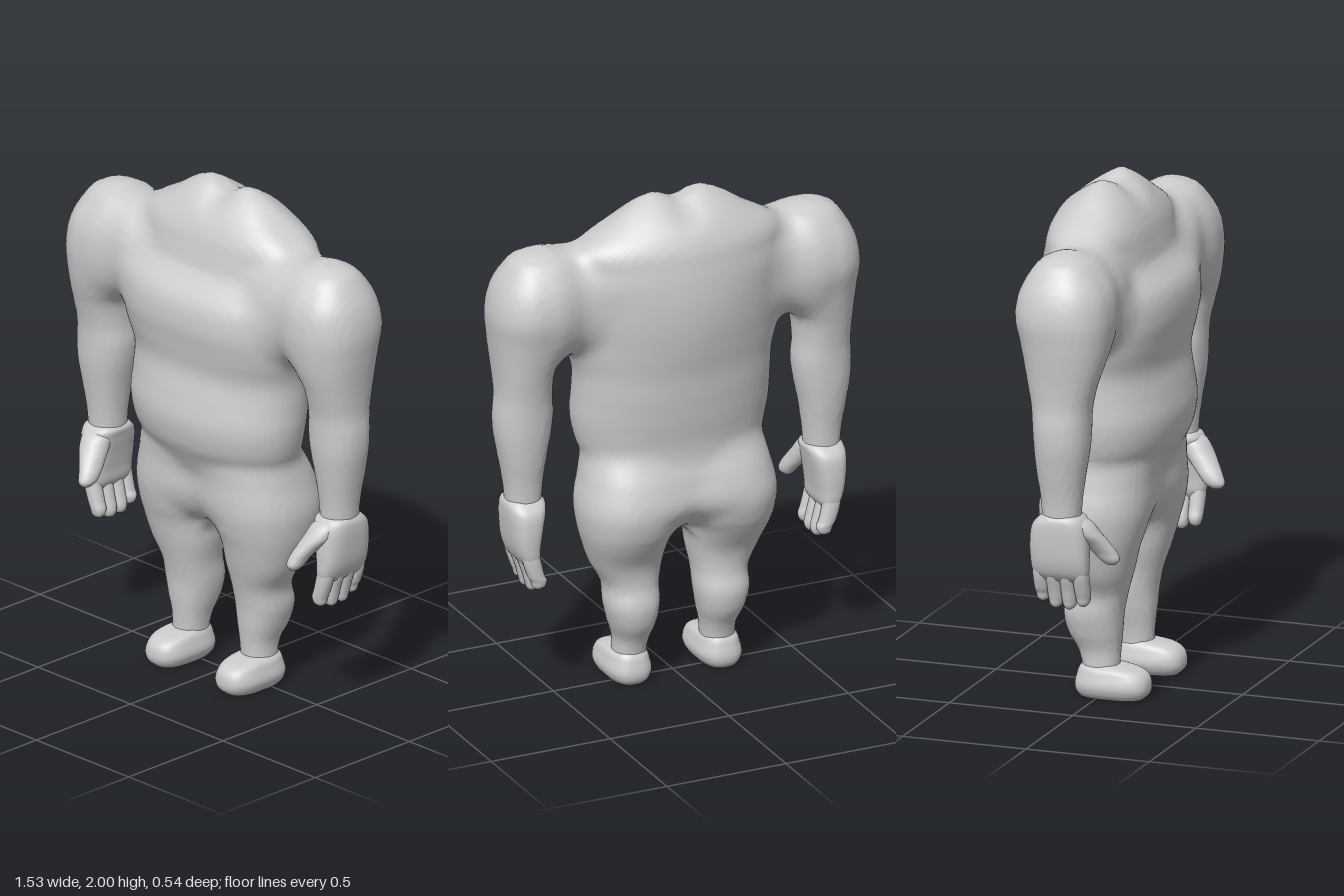
import * as THREE from 'three';

// Cross-sections are [level, u0, u1, zBack, zFront], listed from the highest level down.
// Levels are heights and u is x, except for the shoulder, where levels are x and u is y.

// Torso from neck stump to crotch
const TORSO = [
  [2.0, 0.115, -0.065, 0.0], [1.97, 0.185, -0.115, 0.04], [1.915, 0.27, -0.185, 0.09],
  [1.83, 0.407, -0.237, 0.135], [1.75, 0.43, -0.255, 0.155], [1.69, 0.44, -0.264, 0.172],
  [1.6, 0.447, -0.27, 0.246], [1.5, 0.445, -0.265, 0.264], [1.4, 0.43, -0.25, 0.25],
  [1.3, 0.403, -0.23, 0.237], [1.2, 0.4, -0.218, 0.255], [1.1, 0.4, -0.205, 0.268],
  [1.0, 0.382, -0.19, 0.25], [0.93, 0.354, -0.19, 0.215], [0.85, 0.325, -0.207, 0.178],
  [0.75, 0.26, -0.215, 0.162], [0.67, 0.14, -0.15, 0.12], [0.62, 0.05, -0.06, 0.05],
].map(([y, x, z0, z1]) => [y, -x, x, z0, z1]);

// Bridge from the chest to the upper arm
const SHOULDER = [
  [0.62, 1.45, 1.77, -0.14, 0.14], [0.55, 1.405, 1.82, -0.168, 0.172], [0.45, 1.4, 1.828, -0.16, 0.175],
  [0.35, 1.42, 1.8, -0.15, 0.175], [0.22, 1.48, 1.74, -0.12, 0.13],
];

// Arm from the top of the shoulder to the wrist
const ARM = [
  [1.84, 0.535, 0.605, -0.035, 0.035], [1.82, 0.48, 0.66, -0.085, 0.085], [1.785, 0.455, 0.694, -0.122, 0.122],
  [1.7, 0.43, 0.743, -0.168, 0.172], [1.6, 0.425, 0.764, -0.184, 0.189], [1.5, 0.44, 0.757, -0.163, 0.183],
  [1.42, 0.478, 0.748, -0.144, 0.166], [1.36, 0.51, 0.741, -0.13, 0.148], [1.26, 0.518, 0.735, -0.112, 0.124],
  [1.18, 0.511, 0.742, -0.105, 0.118], [1.1, 0.519, 0.739, -0.1, 0.114], [1.0, 0.538, 0.722, -0.09, 0.1],
  [0.9, 0.552, 0.704, -0.076, 0.086], [0.79, 0.56, 0.693, -0.068, 0.078],
];

// Leg from inside the hip to the ankle
const LEG = [
  [0.99, 0.12, 0.28, -0.1, 0.1], [0.92, 0.04, 0.347, -0.165, 0.165], [0.85, 0.0, 0.38, -0.208, 0.185],
  [0.75, -0.015, 0.401, -0.236, 0.189], [0.66, 0.012, 0.393, -0.22, 0.172], [0.6, 0.043, 0.378, -0.192, 0.154],
  [0.5, 0.06, 0.343, -0.138, 0.128], [0.41, 0.078, 0.297, -0.128, 0.102], [0.33, 0.082, 0.295, -0.145, 0.086],
  [0.25, 0.095, 0.276, -0.13, 0.08], [0.18, 0.113, 0.252, -0.092, 0.073], [0.12, 0.12, 0.25, -0.075, 0.07],
  [0.06, 0.12, 0.25, -0.07, 0.07],
];

const FOOT = [
  [0.128, 0.128, 0.242, -0.07, 0.08], [0.114, 0.115, 0.262, -0.083, 0.15], [0.09, 0.106, 0.272, -0.092, 0.186],
  [0.05, 0.098, 0.281, -0.1, 0.197], [0.02, 0.108, 0.272, -0.095, 0.19], [0.0, 0.125, 0.256, -0.08, 0.17],
];

const PALM = [
  [0.84, 0.58, 0.68, -0.05, 0.06], [0.825, 0.553, 0.7, -0.075, 0.09], [0.79, 0.556, 0.706, -0.106, 0.108],
  [0.72, 0.57, 0.702, -0.116, 0.115], [0.65, 0.582, 0.692, -0.114, 0.116], [0.6, 0.588, 0.674, -0.108, 0.113],
  [0.57, 0.605, 0.65, -0.09, 0.1],
];

const THUMB = [
  [0.82, 0.585, 0.67, 0.02, 0.09], [0.8, 0.565, 0.675, 0.015, 0.122], [0.76, 0.553, 0.665, 0.035, 0.152],
  [0.72, 0.543, 0.632, 0.07, 0.18], [0.68, 0.533, 0.605, 0.108, 0.204], [0.65, 0.534, 0.592, 0.135, 0.214],
  [0.632, 0.55, 0.578, 0.16, 0.2],
];

// Smoothly interpolated section at a level
function sectionAt(sections, level) {
  let i = 0;
  while (i < sections.length - 2 && level < sections[i + 1][0]) i++;
  const b = sections[i], c = sections[i + 1];
  const a = sections[i - 1] ?? b, d = sections[i + 2] ?? c;
  const h = c[0] - b[0];
  const t = THREE.MathUtils.clamp((level - b[0]) / h, 0, 1), t2 = t * t, t3 = t2 * t;
  return [1, 2, 3, 4].map((k) => {
    const m0 = (c[k] - a[k]) / (c[0] - a[0]) * h, m1 = (d[k] - b[k]) / (d[0] - b[0]) * h;
    return b[k] * (2 * t3 - 3 * t2 + 1) + m0 * (t3 - 2 * t2 + t) + c[k] * (3 * t2 - 2 * t3) + m1 * (t3 - t2);
  });
}

// Approximate signed distance to the form described by the sections
function distance(sections, level, u, z, n = 2.2) {
  const [u0, u1, z0, z1] = sectionAt(sections, level);
  const ru = (u1 - u0) / 2, rz = (z1 - z0) / 2;
  const a = Math.abs(u - (u0 + u1) / 2) / ru, b = Math.abs(z - (z0 + z1) / 2) / rz;
  const q = Math.max((a ** n + b ** n) ** (1 / n), 1e-3);
  const slope = Math.hypot((a / q) ** (n - 1) / ru, (b / q) ** (n - 1) / rz);
  return Math.max((q - 1) / slope, level - sections[0][0], sections.at(-1)[0] - level);
}

// Union with a soft seam of width k
function blend(a, b, k) {
  const h = Math.max(k - Math.abs(a - b), 0) / k;
  return Math.min(a, b) - h * h * k / 4;
}

// Torso, legs and arms melted into one body, with a shallow notch between the neck muscles
function bodyField(x, y, z) {
  const { smoothstep, lerp } = THREE.MathUtils;
  const notch = 0.035 * smoothstep(y, 1.86, 1.97) * Math.exp(-((x / 0.06) ** 2));
  const side = Math.abs(x), chest = smoothstep(y, 1.2, 1.45);
  const roundness = lerp(2.15, lerp(1.85, 2.5, smoothstep(z, -0.05, 0.05)), chest);
  const legs = blend(distance(LEG, y, x, z), distance(LEG, y, -x, z), 0.03);
  const trunk = blend(distance(TORSO, y + notch, x, z, roundness), legs, 0.08);
  const arm = blend(distance(ARM, y, side, z), distance(SHOULDER, side, y, z), 0.05);
  return blend(trunk, arm, 0.055);
}

function toGeometry(pos, index) {
  const geo = new THREE.BufferGeometry();
  geo.setAttribute('position', new THREE.Float32BufferAttribute(pos, 3));
  geo.setIndex(index);
  geo.computeVertexNormals();
  return geo;
}

// Skin over the zero surface of a field: one vertex per crossed cell, one quad per crossed edge
function skinField(field, min, max, step) {
  const n = min.map((m, k) => Math.ceil((max[k] - m) / step) + 1);
  const stride = [1, n[0], n[0] * n[1]];
  const value = new Float32Array(n[0] * n[1] * n[2]).fill(1);
  const eachCell = (start, visit) => {
    for (let k = start; k < n[2] - 1; k++)
      for (let j = start; j < n[1] - 1; j++)
        for (let i = start; i < n[0] - 1; i++) visit([i, j, k], i + j * stride[1] + k * stride[2]);
  };
  eachCell(0, (c, id) => { value[id] = field(...c.map((v, k) => min[k] + v * step)); });

  const pos = [], index = [], vertex = new Map();
  eachCell(0, (c, id) => {
    const sum = [0, 0, 0];
    let hits = 0;
    for (let corner = 0; corner < 8; corner++) {
      const bits = [corner & 1, (corner >> 1) & 1, corner >> 2];
      const p = id + bits[0] + bits[1] * stride[1] + bits[2] * stride[2];
      for (let d = 0; d < 3; d++) {
        const v0 = value[p], v1 = value[p + stride[d]];
        if (bits[d] || (v0 < 0) === (v1 < 0)) continue;
        bits.forEach((bit, k) => { sum[k] += bit + (k === d ? v0 / (v0 - v1) : 0); });
        hits++;
      }
    }
    if (!hits) return;
    vertex.set(id, pos.length / 3);
    c.forEach((v, k) => pos.push(min[k] + (v + sum[k] / hits) * step));
  });
  eachCell(1, (c, id) => {
    for (let d = 0; d < 3; d++) {
      const inside = value[id] < 0;
      if (inside === value[id + stride[d]] < 0) continue;
      const u = stride[(d + 1) % 3], v = stride[(d + 2) % 3];
      const [a, b, e, f] = [id, id - u, id - u - v, id - v].map((cell) => vertex.get(cell));
      index.push(...(inside ? [a, b, e, a, e, f] : [a, e, b, a, f, e]));
    }
  });
  return toGeometry(pos, index);
}

// Closed tube through horizontal sections; side = -1 mirrors it
function loft(sections, side, n = 2.2, segments = 32, rows = 30) {
  const pos = [], index = [], end = rows * segments;
  const tri = (a, b, c) => (side > 0 ? index.push(a, b, c) : index.push(a, c, b));
  const power = (v) => Math.sign(v) * Math.abs(v) ** (2 / n);
  for (let i = 0; i <= rows; i++) {
    const y = THREE.MathUtils.lerp(sections[0][0], sections.at(-1)[0], i / rows);
    const [x0, x1, z0, z1] = sectionAt(sections, y);
    for (let j = 0; j < segments; j++) {
      const t = j / segments * Math.PI * 2, k = (j + 1) % segments, a = i * segments;
      pos.push(side * (x0 + x1 + power(Math.cos(t)) * (x1 - x0)) / 2, y, (z0 + z1 + power(Math.sin(t)) * (z1 - z0)) / 2);
      if (i === rows) continue;
      tri(a + j, a + k, a + j + segments);
      tri(a + k, a + k + segments, a + j + segments);
    }
  }
  for (let j = 2; j < segments; j++) {
    tri(0, j, j - 1);
    tri(end, end + j - 1, end + j);
  }
  return toGeometry(pos, index);
}

export function createModel() {
  const model = new THREE.Group();
  model.name = 'headlessFigure';
  const skin = new THREE.MeshStandardMaterial({ color: 0xcccccc });
  skin.name = 'grey skin';
  const add = (parent, geo, name) => {
    const mesh = new THREE.Mesh(geo, skin);
    mesh.name = name;
    parent.add(mesh);
  };

  add(model, skinField(bodyField, [-0.8, 0.03, -0.31], [0.8, 2.05, 0.32], 0.0165), 'body');
  for (const side of [1, -1]) {
    const label = side > 0 ? 'left' : 'right';
    add(model, loft(FOOT, side, 2.7), label + 'Foot');

    // Hand with four fingers and a thumb
    const hand = new THREE.Group();
    hand.name = label + 'Hand';
    model.add(hand);
    add(hand, loft(PALM, side, 2.8), 'palm');
    add(hand, loft(THUMB, side, 2.1, 20), 'thumb');
    [[-0.08, 0.475], [-0.028, 0.452], [0.027, 0.45], [0.082, 0.465]].forEach(([z, tip], i) => {
      const finger = [[0.65, 0.605, 0.67, 0.028], [0.59, 0.593, 0.664, 0.031], [0.53, 0.578, 0.645, 0.03],
        [tip + 0.035, 0.568, 0.633, 0.028], [tip + 0.01, 0.575, 0.625, 0.021], [tip, 0.59, 0.612, 0.008]];
      add(hand, loft(finger.map(([y, x0, x1, r]) => [y, x0, x1, z - r, z + r]), side, 2.2, 16), 'finger' + (i + 1));
    });
  }
  return model;
}
